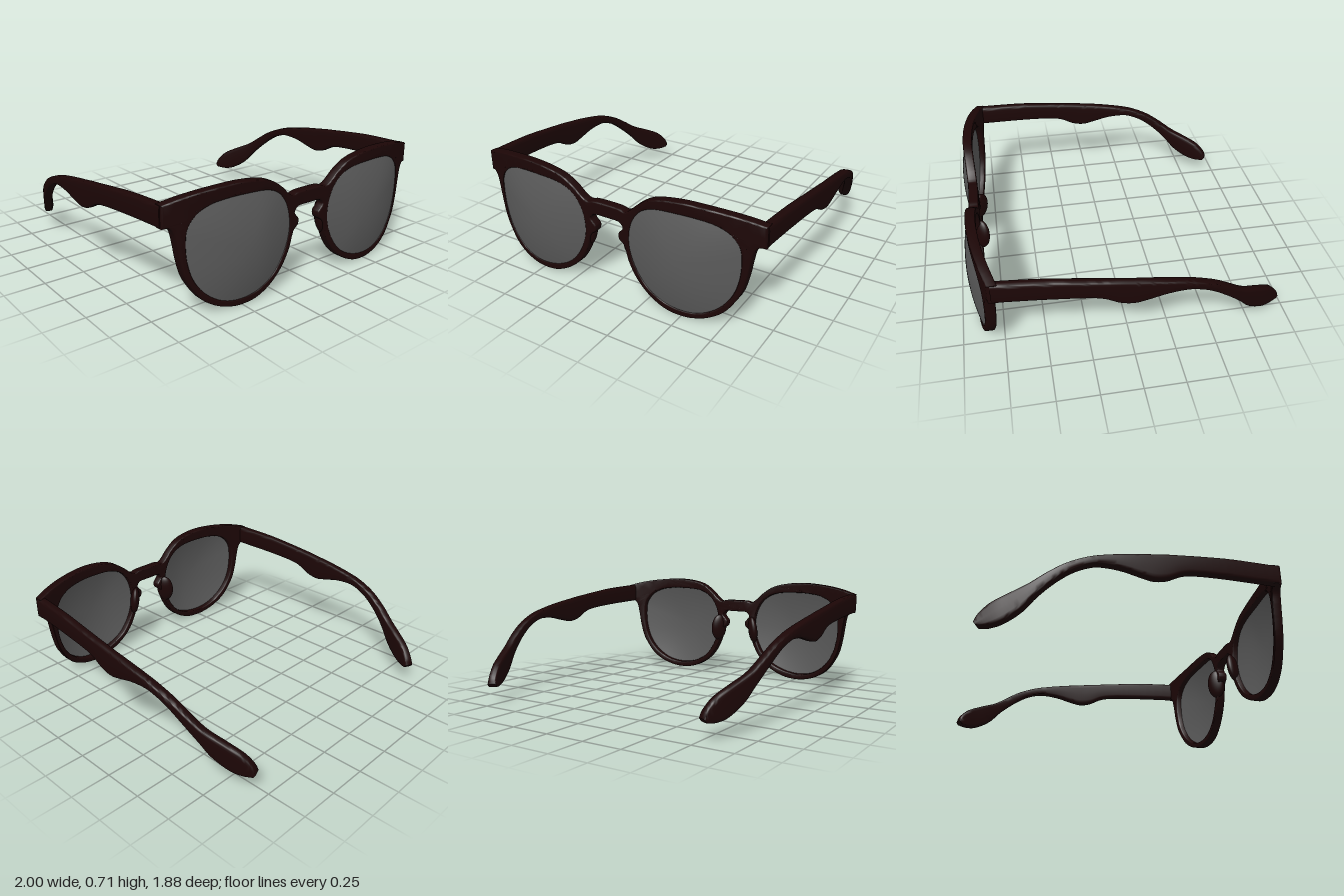
import * as THREE from 'three';
import { toCreasedNormals } from 'three/addons/utils/BufferGeometryUtils.js';

const frameMat = new THREE.MeshStandardMaterial({ color: 0x1c0606 });
frameMat.name = 'dark brown acetate';
const lensMat = new THREE.MeshStandardMaterial({ color: 0x5a5a5a });
lensMat.name = 'smoke grey lens';

const THICK = 0.06;
const spline = (pts) => new THREE.SplineCurve(pts.map(([x, y]) => new THREE.Vector2(x, y)));

// Smooth lookup through evenly spaced values
function track(start, step, values) {
  const curve = spline(values.map((v, i) => [i, v]));
  return (p) => curve.getPoint(THREE.MathUtils.clamp((p - start) / step / (values.length - 1), 0, 1)).y;
}

// Depth of the front's mid-surface across its width, and sideways bow of the temples
const depthAt = track(-0.2, 0.2, [0.866, 0.86, 0.866, 0.875, 0.862, 0.824, 0.763, 0.69]);
const frontZ = (x) => depthAt(Math.abs(x));
const templeX = track(-1, 0.2, [0.752, 0.84, 0.921, 0.957, 0.968, 0.97, 0.966, 0.957, 0.945, 0.934, 0.925]);

// Lens opening on the +x side, counter-clockwise
const opening = new THREE.CatmullRomCurve3([
  [0.49, 0.645], [0.33, 0.632], [0.24, 0.59], [0.18, 0.51], [0.155, 0.405], [0.162, 0.315],
  [0.206, 0.205], [0.28, 0.115], [0.383, 0.062], [0.508, 0.042], [0.625, 0.062], [0.727, 0.127],
  [0.793, 0.217], [0.826, 0.32], [0.835, 0.435], [0.823, 0.52], [0.773, 0.588], [0.695, 0.627], [0.6, 0.642],
].map(([x, y]) => new THREE.Vector3(x, y, 0)), true)
  .getPoints(80).slice(0, -1).map((p) => new THREE.Vector2(p.x, p.y));

const mirrored = (pts) => pts.map((p) => new THREE.Vector2(-p.x, p.y)).reverse();

// Halve the longest edge of each triangle until all edges are short enough to bend smoothly
function subdivide(geo, limit) {
  const pos = geo.attributes.position, out = [], stack = [];
  for (let i = 0; i < pos.count; i += 3) {
    stack.push([0, 1, 2].map((k) => new THREE.Vector3().fromBufferAttribute(pos, i + k)));
  }
  while (stack.length) {
    const t = stack.pop();
    const len = t.map((p, k) => p.distanceTo(t[(k + 1) % 3]));
    const k = len.indexOf(Math.max(...len));
    if (len[k] < limit) {
      t.forEach((p) => out.push(p.x, p.y, p.z));
    } else {
      const a = t[k], b = t[(k + 1) % 3], c = t[(k + 2) % 3];
      const mid = a.clone().add(b).multiplyScalar(0.5);
      stack.push([a, mid, c], [mid, b, c]);
    }
  }
  const fine = new THREE.BufferGeometry();
  fine.setAttribute('position', new THREE.Float32BufferAttribute(out, 3));
  return fine;
}

function frontFrame() {
  // Brow line from the bridge to the end piece
  const brow = spline([[0, 0.567], [0.085, 0.566], [0.13, 0.557], [0.17, 0.58], [0.225, 0.63],
    [0.305, 0.68], [0.41, 0.707], [0.545, 0.717], [0.705, 0.707], [0.84, 0.687], [0.957, 0.657]]).getPoints(60);
  // Underside from the end piece round the rim, nose notch and bridge
  const under = spline([[0.957, 0.53], [0.92, 0.53], [0.895, 0.495], [0.88, 0.42], [0.867, 0.34],
    [0.845, 0.25], [0.814, 0.185], [0.753, 0.1], [0.675, 0.045], [0.594, 0.015], [0.508, 0.003],
    [0.398, 0.015], [0.29, 0.065], [0.207, 0.14], [0.151, 0.235], [0.126, 0.32], [0.112, 0.347],
    [0.085, 0.37], [0.08, 0.405], [0.1, 0.43], [0.113, 0.45], [0.1, 0.472], [0.075, 0.483],
    [0, 0.483]]).getPoints(120);
  const half = [...brow, ...under];
  const shape = new THREE.Shape([...half, ...mirrored(half.slice(1, -1))]);
  shape.holes.push(new THREE.Path(opening), new THREE.Path(mirrored(opening)));
  const bevel = 0.008;
  const geo = subdivide(new THREE.ExtrudeGeometry(shape, {
    depth: THICK - 2 * bevel, bevelThickness: bevel, bevelSize: bevel, bevelOffset: -bevel, bevelSegments: 3,
  }), 0.07);
  // Wrap the flat front to the face
  const pos = geo.attributes.position;
  for (let i = 0; i < pos.count; i++) {
    pos.setZ(i, pos.getZ(i) + bevel - THICK / 2 + frontZ(pos.getX(i)));
  }
  return toCreasedNormals(geo, 0.6);
}

function buildIndexed(positions, index) {
  const geo = new THREE.BufferGeometry();
  geo.setAttribute('position', new THREE.Float32BufferAttribute(positions, 3));
  geo.setIndex(index);
  geo.computeVertexNormals();
  return geo;
}

// Domed solid lens: rings grow over the front, then shrink over the back
function lens(side) {
  const outline = side > 0 ? opening : mirrored(opening);
  const n = outline.length, rings = 12, cx = 0.48 * side, cy = 0.35;
  const positions = [], index = [];
  for (let r = 0; r <= 2 * rings + 1; r++) {
    const back = r > rings;
    const t = (back ? 2 * rings + 1 - r : r) / rings;
    for (const p of outline) {
      const x = cx + (p.x - cx) * t * 1.01, y = cy + (p.y - cy) * t * 1.01;
      positions.push(x, y, frontZ(x) + THICK / 2 - (back ? 0.025 : 0.005) + 0.038 * (1 - t * t));
    }
  }
  for (let r = 0; r <= 2 * rings; r++) {
    for (let j = 0; j < n; j++) {
      const k = (j + 1) % n, a = r * n + j, b = r * n + k;
      if (r > 0) index.push(a, b + n, b);
      if (r < 2 * rings) index.push(a, a + n, b + n);
    }
  }
  return toCreasedNormals(buildIndexed(positions, index), 0.8);
}

// Temple lofted through rounded sections between its upper and lower edges
const topEdge = spline([[0.79, 0.658], [0.5, 0.645], [0.28, 0.622], [0.18, 0.61], [0.09, 0.6], [0.01, 0.588],
  [-0.07, 0.577], [-0.17, 0.56], [-0.27, 0.54], [-0.365, 0.515], [-0.48, 0.467], [-0.58, 0.403],
  [-0.675, 0.335], [-0.775, 0.285], [-0.865, 0.235], [-0.92, 0.175], [-0.937, 0.13]]);
const lowEdge = spline([[0.79, 0.53], [0.5, 0.52], [0.28, 0.505], [0.18, 0.485], [0.09, 0.44], [0.01, 0.425],
  [-0.07, 0.44], [-0.17, 0.465], [-0.26, 0.475], [-0.335, 0.47], [-0.435, 0.43], [-0.535, 0.358],
  [-0.63, 0.268], [-0.705, 0.18], [-0.795, 0.118], [-0.865, 0.1], [-0.92, 0.106]]);

function temple(side) {
  const steps = 80, n = 20, positions = [], index = [];
  const soft = (v) => Math.sign(v) * Math.abs(v) ** 0.4;
  for (let i = 0; i <= steps; i++) {
    const top = topEdge.getPoint(i / steps), low = lowEdge.getPoint(i / steps);
    for (let j = 0; j < n; j++) {
      const a = (j / n) * Math.PI * 2, f = (soft(Math.sin(a)) + 1) / 2;
      const z = low.x + (top.x - low.x) * f, y = low.y + (top.y - low.y) * f;
      // Thickness runs square to the bow
      const slope = (templeX(z + 0.02) - templeX(z - 0.02)) / 0.04;
      const w = 0.028 * soft(Math.cos(a)) / Math.hypot(1, slope);
      positions.push(side * (templeX(z) + w), y, z - w * slope);
    }
  }
  const tri = (a, b, c) => (side > 0 ? index.push(a, b, c) : index.push(a, c, b));
  for (let i = 0; i < steps; i++) {
    for (let j = 0; j < n; j++) {
      const a = i * n + j, b = i * n + (j + 1) % n;
      tri(a, a + n, b);
      tri(b, a + n, b + n);
    }
  }
  // End caps
  const last = steps * n;
  for (let j = 1; j < n - 1; j++) {
    tri(0, j, j + 1);
    tri(last, last + j + 1, last + j);
  }
  return toCreasedNormals(buildIndexed(positions, index), 0.8);
}

export function createModel() {
  const model = new THREE.Group();
  model.name = 'sunglasses';
  const add = (name, geo, mat) => {
    const mesh = new THREE.Mesh(geo, mat);
    mesh.name = name;
    model.add(mesh);
    return mesh;
  };
  add('frontFrame', frontFrame(), frameMat);
  for (const [side, label] of [[1, 'left'], [-1, 'right']]) {
    add(label + 'Lens', lens(side), lensMat);
    add(label + 'Temple', temple(side), frameMat);
    // Nose pad flaring outwards from the back of the rim
    const pad = add(label + 'NosePad', new THREE.SphereGeometry(1, 24, 16), frameMat);
    pad.scale.set(0.032, 0.1, 0.06);
    pad.position.set(0.148 * side, 0.35, 0.834);
    pad.rotation.set(0, -0.7 * side, 0.12 * side);
  }
  return model;
}
